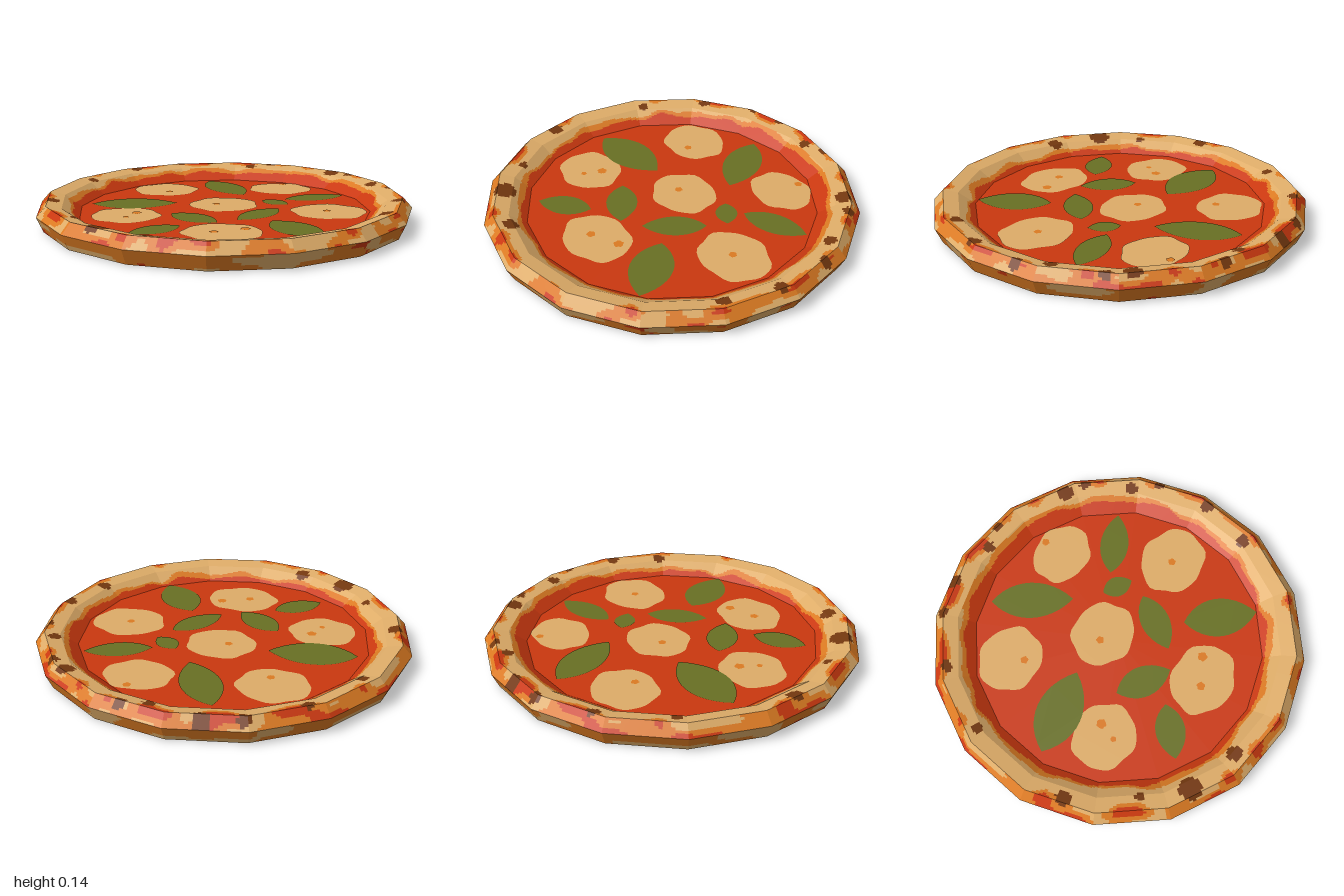
import * as THREE from 'three';

const SIDES = 16, CELLS = 20, BASE = 0.002, SAUCE_Y = 0.055;
// Crust cross-section: [radius, height], from the base up, over the rim and down to the sauce
const PROFILE = [[0.965, BASE], [1, 0.08], [0.95, 0.135], [0.87, 0.118], [0.78, SAUCE_Y]];
const ROWS = [6, 6, 8, 14];

// Scorched spots on the rim: [x, z, radius]
const SPOTS = [
  [-0.89, 0.19, 0.04], [-0.53, 0.72, 0.06], [-0.26, 0.83, 0.04], [-0.8, -0.38, 0.03],
  [-0.6, -0.7, 0.03], [-0.35, -0.89, 0.03], [-0.165, -0.94, 0.04], [0.1, -0.88, 0.03],
  [0.6, -0.69, 0.045], [0.7, -0.62, 0.03], [0.23, -0.91, 0.03], [0.81, -0.38, 0.035],
  [0.92, 0.05, 0.035], [0.83, 0.32, 0.035], [-0.69, 0.52, 0.025], [0.91, -0.25, 0.03],
];
// Cheese slices: [x, z, half width, half depth]
const CHEESE = [
  [-0.38, -0.45, 0.185, 0.165], [0.29, -0.53, 0.18, 0.15], [-0.01, -0.09, 0.185, 0.165],
  [0.56, 0.03, 0.2, 0.17], [-0.5, 0.2, 0.18, 0.165], [0.03, 0.5, 0.2, 0.165],
];
// Browned specks on the cheese: [x, z, radius]
const SPECKS = [
  [-0.35, -0.38, 0.02], [0.305, -0.645, 0.02], [-0.05, -0.085, 0.02], [0.55, 0.03, 0.02],
  [-0.45, 0.155, 0.025], [-0.49, 0.25, 0.015], [-0.01, 0.51, 0.022], [0.14, 0.44, 0.025],
];
// Basil leaves: [tip x, tip z, tip x, tip z, width]
const LEAVES = [
  [-0.15, -0.715, 0.085, -0.335, 0.2], [0.325, -0.235, 0.655, -0.375, 0.15],
  [0.2, -0.21, 0.34, -0.11, 0.11], [-0.73, -0.04, -0.27, -0.1, 0.23],
  [0.29, -0.01, 0.09, 0.26, 0.15], [-0.265, 0.14, -0.01, 0.325, 0.16],
  [-0.19, 0.395, -0.42, 0.58, 0.15], [0.265, 0.26, 0.515, 0.575, 0.21],
];

function hash(x, y) {
  const h = Math.sin(x * 127.1 + y * 311.7) * 43758.5453;
  return h - Math.floor(h);
}

// Smooth value noise that wraps around the rim; u runs 0..1 once around
function noise(u, v, period) {
  const x = u * period, ix = Math.floor(x), iy = Math.floor(v);
  const ease = (t) => t * t * (3 - 2 * t);
  const fx = ease(x - ix), fy = ease(v - iy), a = ix % period, b = (ix + 1) % period;
  const low = THREE.MathUtils.lerp(hash(a, iy), hash(b, iy), fx);
  const high = THREE.MathUtils.lerp(hash(a, iy + 1), hash(b, iy + 1), fx);
  return THREE.MathUtils.lerp(low, high, fy);
}

// Colour rule for the crust: 0 dough, 1 toasted, 2 sauce, 3 scorched
function crustColour(band, v, u, p) {
  if (band > 0 && SPOTS.some(([x, z, r]) => Math.hypot(p.x - x, p.z - z) < r)) return 3;
  const n = noise(u, band + v * 1.3 + 5, 60);
  if (band === 0) {
    if (noise(u, v * 1.5 + 20, 36) > 0.65) return 0;
    return n > 0.88 ? 2 : 1;
  }
  if (band === 1) {
    if (n < 0.3) return 2;
    return n < 0.64 ? 1 : 0;
  }
  if (band === 2) {
    const m = noise(u, 2 + 5, 60);
    if (v < 0.5 - m * 1.6) return 2;
    return v < 0.75 - m * 1.5 ? 1 : 0;
  }
  const radius = Math.hypot(p.x, p.z) / Math.hypot(Math.sin(u * 2 * Math.PI), Math.cos(u * 2 * Math.PI));
  const edge = 0.8 + 0.025 * noise(u, 40, 50) - 0.018 * Math.cos(u * 2 * Math.PI);
  if (radius < edge) return 2;
  return radius < edge + 0.008 + 0.025 * noise(u, 50, 40) ? 1 : 0;
}

// Sixteen-sided crust ring, split into small cells that are grouped by colour
function crustGeometry() {
  const lists = [[], [], [], []];
  const corner = (k, [r, y]) => {
    const t = (k / SIDES) * 2 * Math.PI;
    return new THREE.Vector3(r * Math.sin(t), y, r * Math.cos(t));
  };
  for (let k = 0; k < SIDES; k++) {
    for (let band = 0; band < ROWS.length; band++) {
      const [a, b] = [corner(k, PROFILE[band]), corner(k + 1, PROFILE[band])];
      const [d, c] = [corner(k, PROFILE[band + 1]), corner(k + 1, PROFILE[band + 1])];
      const at = (s, v) => a.clone().lerp(b, s).lerp(d.clone().lerp(c, s), v);
      for (let i = 0; i < CELLS; i++) {
        for (let j = 0; j < ROWS[band]; j++) {
          const s = [i / CELLS, (i + 1) / CELLS], v = [j / ROWS[band], (j + 1) / ROWS[band]];
          const midS = (s[0] + s[1]) / 2, midV = (v[0] + v[1]) / 2;
          const colour = crustColour(band, midV, (k + midS) / SIDES, at(midS, midV));
          const q = [at(s[0], v[0]), at(s[1], v[0]), at(s[1], v[1]), at(s[0], v[1])];
          for (const n of [0, 1, 2, 0, 2, 3]) lists[colour].push(q[n].x, q[n].y, q[n].z);
        }
      }
    }
  }
  const geometry = new THREE.BufferGeometry();
  geometry.setAttribute('position', new THREE.Float32BufferAttribute(lists.flat(), 3));
  let start = 0;
  lists.forEach((list, colour) => {
    geometry.addGroup(start, list.length / 3, colour);
    start += list.length / 3;
  });
  geometry.computeVertexNormals();
  return geometry;
}

// Rounded outline with a wavy edge
function blobShape(rx, rz, wave, seed) {
  const points = [];
  for (let i = 0; i < 36; i++) {
    const t = (i / 36) * 2 * Math.PI;
    const w = 1 + wave * (Math.sin(5 * t + seed * 2) + 0.6 * Math.sin(8 * t + seed * 5));
    points.push(new THREE.Vector2(rx * w * Math.cos(t), rz * w * Math.sin(t)));
  }
  return new THREE.Shape(points);
}

// Pointed leaf outline along x
function leafShape(length, width) {
  const h = length / 2;
  const shape = new THREE.Shape();
  shape.moveTo(-h, 0);
  shape.bezierCurveTo(-h * 0.5, -width * 0.7, h * 0.4, -width * 0.7, h, 0);
  shape.bezierCurveTo(h * 0.4, width * 0.7, -h * 0.5, width * 0.7, -h, 0);
  return shape;
}

export function createModel() {
  const model = new THREE.Group();
  model.name = 'pizza';
  const material = (name, color) => {
    const m = new THREE.MeshStandardMaterial({ color });
    m.name = name;
    return m;
  };
  const dough = material('dough', 0xdeac68);
  const toasted = material('toasted', 0xdb7a22);
  const sauce = material('sauce', 0xca380f);
  const scorched = material('scorched', 0x74380f);
  const basil = material('basil', 0x687023);

  const add = (name, geometry, mat, x, y, z, down = false) => {
    const mesh = new THREE.Mesh(geometry, mat);
    mesh.name = name;
    mesh.rotation.x = down ? Math.PI / 2 : -Math.PI / 2;
    mesh.position.set(x, y, z);
    model.add(mesh);
    return mesh;
  };

  // Crust, underside and sauce
  const crust = new THREE.Mesh(crustGeometry(), [dough, toasted, sauce, scorched]);
  crust.name = 'crust';
  model.add(crust);
  add('underside', new THREE.CircleGeometry(PROFILE[0][0], SIDES), dough, 0, BASE, 0, true);
  add('sauceLayer', new THREE.CircleGeometry(0.78, SIDES), sauce, 0, SAUCE_Y, 0);

  // Sauce stains under the base
  [[-0.75, -0.13, 0.06], [-0.73, 0.16, 0.075]].forEach(([x, z, r], i) =>
    add('undersideStain', new THREE.ShapeGeometry(blobShape(r, r, 0.05, i)), sauce, x, 0, z, true));

  // Toppings
  CHEESE.forEach(([x, z, rx, rz], i) =>
    add('cheese', new THREE.ShapeGeometry(blobShape(rx, rz, 0.035, i)), dough, x, SAUCE_Y + 0.003, z));
  SPECKS.forEach(([x, z, r], i) =>
    add('cheeseSpeck', new THREE.ShapeGeometry(blobShape(r, r, 0.08, i)), toasted, x, SAUCE_Y + 0.006, z));
  LEAVES.forEach(([x1, z1, x2, z2, width]) => {
    const shape = leafShape(Math.hypot(x2 - x1, z2 - z1), width);
    const leaf = add('basilLeaf', new THREE.ShapeGeometry(shape), basil, (x1 + x2) / 2, SAUCE_Y + 0.004, (z1 + z2) / 2);
    leaf.rotation.z = -Math.atan2(z2 - z1, x2 - x1);
  });
  return model;
}
